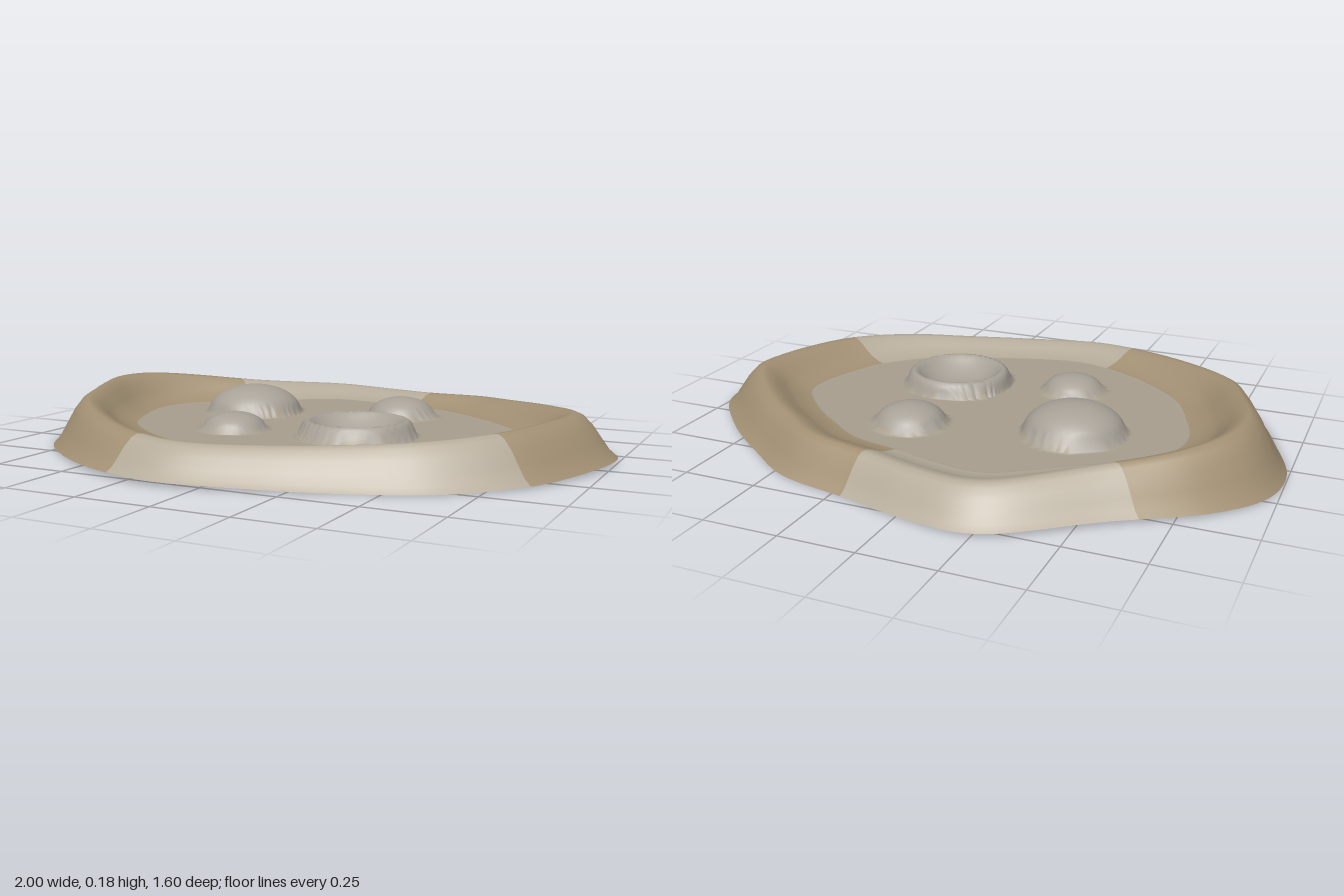
import * as THREE from 'three';

const SEG = 160, FLOOR = 0.075, FLOOR_EDGE = 0.68, FLOOR_RINGS = 40;

// Outer outline on the ground (x, z), counted from +x towards +z
const OUTLINE = [
  [1, -0.08], [0.94, 0.16], [0.845, 0.35], [0.65, 0.53], [0.43, 0.63], [0.17, 0.725],
  [-0.14, 0.795], [-0.34, 0.75], [-0.58, 0.62], [-0.82, 0.4], [-0.92, 0.19], [-0.995, -0.05],
  [-0.97, -0.24], [-0.85, -0.4], [-0.58, -0.585], [-0.315, -0.77], [-0.2, -0.8], [0, -0.77],
  [0.2, -0.715], [0.46, -0.655], [0.62, -0.55], [0.81, -0.4], [0.985, -0.19],
];

// Raised rim section: [scale of the outline, share of the rim height]
const RIM = [
  [1, 0], [0.975, 0.14], [0.95, 0.38], [0.92, 0.68], [0.89, 0.91], [0.865, 1],
  [0.84, 0.97], [0.81, 0.78], [0.78, 0.5], [0.75, 0.25], [0.71, 0.08], [FLOOR_EDGE, 0],
];
const CREST = 5;

// Bumps on the floor: centre, radius, height
const BUMPS = [
  { name: 'largeMound', x: -0.32, z: -0.13, r: 0.17, h: 0.1 },
  { name: 'backMound', x: 0.205, z: -0.265, r: 0.12, h: 0.07 },
  { name: 'smallMound', x: -0.19, z: 0.235, r: 0.108, h: 0.06 },
  { name: 'crater', x: 0.225, z: 0.16, r: 0.19, h: 0.055, bowl: true },
];

function bumpAt(x, z) {
  return BUMPS.find((b) => Math.hypot(x - b.x, z - b.z) < b.r);
}

function floorHeight(x, z) {
  const b = bumpAt(x, z);
  if (!b) return FLOOR;
  const d = Math.hypot(x - b.x, z - b.z) / b.r;
  if (!b.bowl) return FLOOR + b.h * Math.sqrt(1 - d * d);
  // crater: steep outer lip, rounded bowl inside
  const lip = 0.82;
  return d > lip
    ? FLOOR + b.h * Math.sqrt(1 - ((d - lip) / (1 - lip)) ** 2)
    : FLOOR - 0.01 + (b.h + 0.01) * (d / lip) ** 2.5;
}

export function createModel() {
  const group = new THREE.Group();
  const curve = new THREE.CatmullRomCurve3(
    OUTLINE.map(([x, z]) => new THREE.Vector3(x, 0, z)), true);
  const outline = curve.getSpacedPoints(SEG).slice(0, SEG);

  // One continuous sheet: rim rings first, then floor rings to the centre
  const pos = [];
  RIM.forEach(([s, t], i) => {
    for (const p of outline) {
      const x = p.x * s, z = p.z * s;
      const crest = 0.112 + (x < 0 ? 0.098 : 0.057) * x * x;
      const ground = 0.007 * (1 + Math.cos(3 * Math.atan2(z, x) + 0.6));
      const base = i <= CREST ? ground : floorHeight(x, z);
      pos.push(x, base + (crest - base) * t, z);
    }
  });
  for (let k = 1; k <= FLOOR_RINGS; k++) {
    const s = FLOOR_EDGE * (1 - k / FLOOR_RINGS);
    for (const p of outline) pos.push(p.x * s, floorHeight(p.x * s, p.z * s), p.z * s);
  }

  // Sort the faces into named parts
  const parts = { floor: [], frontRim: [], backRim: [], leftRim: [], rightRim: [] };
  BUMPS.forEach((b) => { parts[b.name] = []; });
  const rimPart = (x, z) => {
    const a = (THREE.MathUtils.radToDeg(Math.atan2(z, x)) + 360) % 360;
    if (a > 21 && a < 113) return 'frontRim';
    if (a > 220 && a < 286) return 'backRim';
    return x < 0 ? 'rightRim' : 'leftRim';
  };
  const rings = RIM.length + FLOOR_RINGS, all = [];
  for (let i = 0; i < rings - 1; i++) {
    for (let j = 0; j < SEG; j++) {
      const n = (j + 1) % SEG;
      const a = i * SEG + j, b = i * SEG + n, c = a + SEG, d = b + SEG;
      const x = (pos[a * 3] + pos[d * 3]) / 2, z = (pos[a * 3 + 2] + pos[d * 3 + 2]) / 2;
      const name = i < RIM.length - 1 ? rimPart(x, z) : (bumpAt(x, z)?.name ?? 'floor');
      const faces = i === rings - 2 ? [a, c, b] : [a, c, b, b, c, d];
      parts[name].push(...faces);
      all.push(...faces);
    }
  }

  // Shared smooth normals, so the parts join without seams
  const sheet = new THREE.BufferGeometry();
  sheet.setAttribute('position', new THREE.Float32BufferAttribute(pos, 3));
  sheet.setIndex(all);
  sheet.computeVertexNormals();

  const material = (color) => new THREE.MeshStandardMaterial({ color, side: THREE.DoubleSide });
  const pale = material(0xb5ab9a), brown = material(0xa39174);
  const floorMat = material(0xa9a090), stone = material(0xa8a298);
  const looks = { floor: floorMat, frontRim: pale, backRim: pale, leftRim: brown, rightRim: brown };
  for (const [name, index] of Object.entries(parts)) {
    const geo = new THREE.BufferGeometry();
    geo.setAttribute('position', sheet.getAttribute('position'));
    geo.setAttribute('normal', sheet.getAttribute('normal'));
    geo.setIndex(index);
    const mesh = new THREE.Mesh(geo, looks[name] ?? stone);
    mesh.name = name;
    group.add(mesh);
  }
  group.name = 'crateredGround';
  return group;
}
